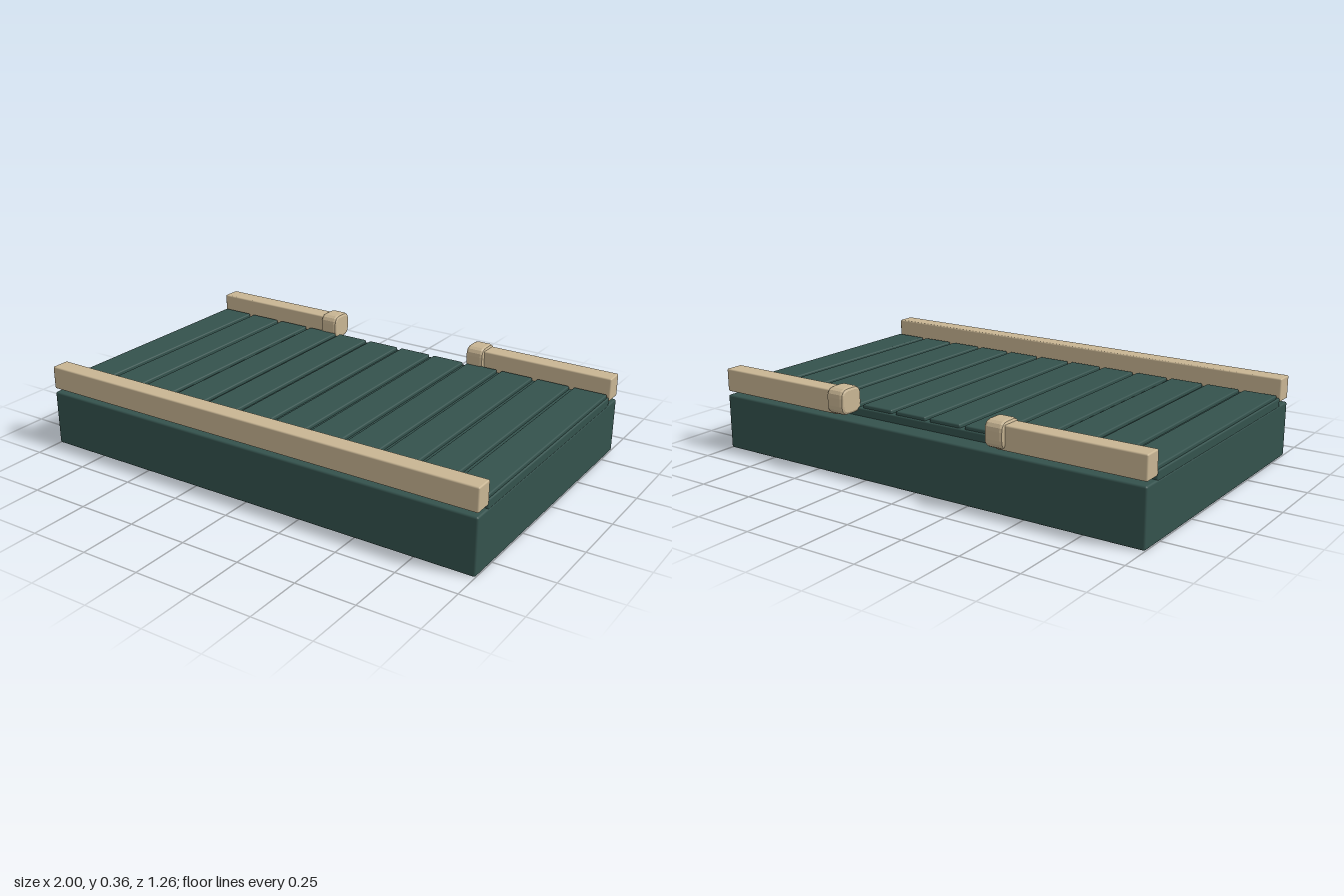
import * as THREE from 'three';
import { RoundedBoxGeometry } from 'three/addons/geometries/RoundedBoxGeometry.js';

export function createModel() {
  const group = new THREE.Group();
  group.name = 'railedPlatform';
  const green = new THREE.MeshStandardMaterial({ name: 'darkGreen', color: 0x34524d });
  const tan = new THREE.MeshStandardMaterial({ name: 'tan', color: 0xc8b593 });

  function add(name, geometry, material) {
    const mesh = new THREE.Mesh(geometry, material);
    mesh.name = name;
    group.add(mesh);
    return mesh;
  }

  // Softly rounded box given by its extents
  function block(name, [x0, x1], [y0, y1], [z0, z1], radius, material) {
    const geometry = new RoundedBoxGeometry(x1 - x0, y1 - y0, z1 - z0, 2, radius);
    geometry.translate((x0 + x1) / 2, (y0 + y1) / 2, (z0 + z1) / 2);
    return add(name, geometry, material);
  }

  // Base and raised deck
  block('base', [-1, 1], [0, 0.235], [-0.612, 0.628], 0.008, green);
  block('deck', [-0.998, 0.998], [0.22, 0.268], [-0.532, 0.55], 0.006, green);

  // Twelve planks across the deck
  const count = 12, pitch = 0.1669, width = 0.146;
  for (let i = 0; i < count; i++) {
    const x = (i - (count - 1) / 2) * pitch;
    block('plank' + (i + 1), [x - width / 2, x + width / 2], [0.255, 0.283], [-0.525, 0.532], 0.006, green);
  }

  // Full-length front rail
  block('frontRail', [-1, 1], [0.251, 0.349], [0.549, 0.628], 0.006, tan);

  // Rounded end cap profile, in z and y
  const w = 0.046, h = 0.043, r = 0.027;
  const profile = new THREE.Shape();
  profile.moveTo(-w + r, -h);
  profile.lineTo(w - r, -h);
  profile.quadraticCurveTo(w, -h, w, -h + r);
  profile.lineTo(w, h - r);
  profile.quadraticCurveTo(w, h, w - r, h);
  profile.lineTo(-w + r, h);
  profile.quadraticCurveTo(-w, h, -w, h - r);
  profile.lineTo(-w, -h + r);
  profile.quadraticCurveTo(-w, -h, -w + r, -h);

  // Split back rail with an end cap either side of the opening
  for (const side of [-1, 1]) {
    const label = side > 0 ? 'left' : 'right';
    const span = side > 0 ? [0.38, 1] : [-1, -0.38];
    block(label + 'BackRail', span, [0.251, 0.349], [-0.611, -0.532], 0.006, tan);

    const cap = new THREE.ExtrudeGeometry(profile, {
      depth: 0.056, bevelEnabled: true, bevelThickness: 0.013, bevelSize: 0.012,
      bevelSegments: 2, curveSegments: 4,
    });
    cap.translate(0, 0, -0.028);
    cap.rotateY(Math.PI / 2);
    add(label + 'RailCap', cap, tan).position.set(side * 0.381, 0.307, -0.571);
  }

  return group;
}
